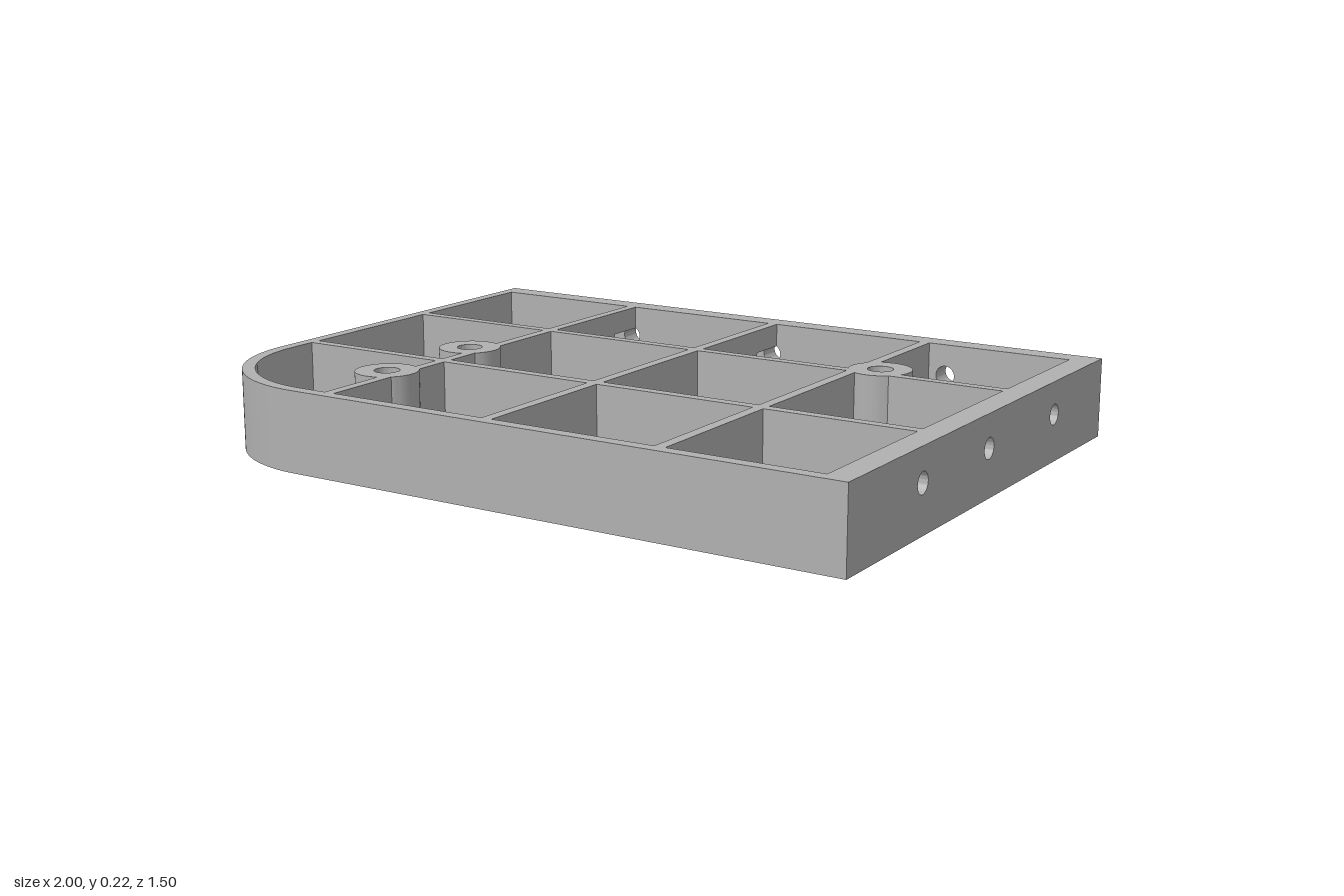
import * as THREE from 'three';
import { toCreasedNormals } from 'three/addons/utils/BufferGeometryUtils.js';

const HEIGHT = 0.22, FLOOR = 0.035, RIB = 0.03;
const HOLE_Y = 0.13, HOLE_R = 0.028, SCREW_R = 0.035;
const BACK_IN = -0.685, SIDE_IN = 0.93, FRONT_IN = 0.715, EDGE_IN = -0.965;
const SCREWS = [[0.55, -0.3], [-0.55, 0.07], [-0.55, 0.43]];

function circleHole(shape, x, y, r) {
  const path = new THREE.Path();
  path.absarc(x, y, r, 0, Math.PI * 2, true);
  shape.holes.push(path);
}

function polygon(points) {
  return new THREE.Shape(points.map(([x, y]) => new THREE.Vector2(x, y)));
}

function extrude(shape, depth) {
  return new THREE.ExtrudeGeometry(shape, { depth, bevelEnabled: false, curveSegments: 32 });
}

// Plan shapes are drawn in (x, -z) and raised upwards
function plan(shape, y0, y1) {
  return toCreasedNormals(extrude(shape, y1 - y0).rotateX(-Math.PI / 2).translate(0, y0, 0), 0.5);
}

// Side profiles are drawn in (-z, y) and extruded along x
function profile(shape, x0, x1) {
  return toCreasedNormals(extrude(shape, x1 - x0).rotateY(Math.PI / 2).translate(x0, 0, 0), 0.5);
}

export function createModel() {
  const group = new THREE.Group();
  group.name = 'ribbedTray';
  const grey = new THREE.MeshStandardMaterial({ color: 0xb0b0b0 });
  grey.name = 'grey';

  const add = (name, geometry) => {
    const mesh = new THREE.Mesh(geometry, grey);
    mesh.name = name;
    group.add(mesh);
  };

  // Floor with one rounded corner and through screw holes
  const floor = new THREE.Shape();
  floor.moveTo(-1, 0.75);
  floor.lineTo(-1, -0.35);
  floor.absarc(-0.6, -0.35, 0.4, Math.PI, Math.PI * 1.5, false);
  floor.lineTo(1, -0.75);
  floor.lineTo(1, 0.75);
  SCREWS.forEach(([x, z]) => circleHole(floor, x, -z, SCREW_R));
  add('floor', plan(floor, 0, FLOOR));

  // Thin wall round the right side, rounded corner and front
  const rim = new THREE.Shape();
  rim.moveTo(-1, -BACK_IN);
  rim.lineTo(-1, -0.35);
  rim.absarc(-0.6, -0.35, 0.4, Math.PI, Math.PI * 1.5, false);
  rim.lineTo(SIDE_IN, -0.75);
  rim.lineTo(SIDE_IN, -FRONT_IN);
  rim.absarc(-0.6, -0.35, 0.365, Math.PI * 1.5, Math.PI, true);
  rim.lineTo(EDGE_IN, -BACK_IN);
  add('curvedWall', plan(rim, FLOOR, HEIGHT));

  // Thick back wall with three bored holes
  const back = polygon([[-1, FLOOR], [1, FLOOR], [1, HEIGHT], [-1, HEIGHT]]);
  [-0.5, 0, 0.563].forEach(x => circleHole(back, x, HOLE_Y, HOLE_R));
  add('backWall', toCreasedNormals(extrude(back, BACK_IN + 0.75).translate(0, 0, -0.75), 0.5));

  // Thick left wall with three bored holes
  const left = polygon([[-0.75, FLOOR], [-BACK_IN, FLOOR], [-BACK_IN, HEIGHT], [-0.75, HEIGHT]]);
  [0.375, 0, -0.417].forEach(z => circleHole(left, -z, HOLE_Y, HOLE_R));
  add('leftWall', profile(left, SIDE_IN, 1));

  // Lengthwise ribs; two are slotted where the back holes run into them
  [[-0.502, true], [0, true], [0.497, false]].forEach(([x, slotted]) => {
    const points = [[-FRONT_IN, FLOOR], [-BACK_IN, FLOOR]];
    if (slotted) {
      points.push([-BACK_IN, HOLE_Y - 0.024], [0.57, HOLE_Y - 0.024],
        [0.57, HOLE_Y + 0.024], [-BACK_IN, HOLE_Y + 0.024]);
    }
    points.push([-BACK_IN, HEIGHT], [-FRONT_IN, HEIGHT]);
    add('lengthRib', profile(polygon(points), x - RIB / 2, x + RIB / 2));
  });

  // Cross ribs
  [-0.25, 0.25].forEach(z => {
    const rib = new THREE.BoxGeometry(SIDE_IN - EDGE_IN, HEIGHT - FLOOR, RIB);
    add('crossRib', rib.translate((SIDE_IN + EDGE_IN) / 2, (HEIGHT + FLOOR) / 2, z));
  });

  // Screw bosses, level with the ribs
  SCREWS.forEach(([x, z]) => {
    const boss = new THREE.Shape();
    boss.absarc(x, -z, 0.086, 0, Math.PI * 2, false);
    circleHole(boss, x, -z, SCREW_R);
    add('screwBoss', plan(boss, FLOOR, HEIGHT));
  });

  return group;
}
